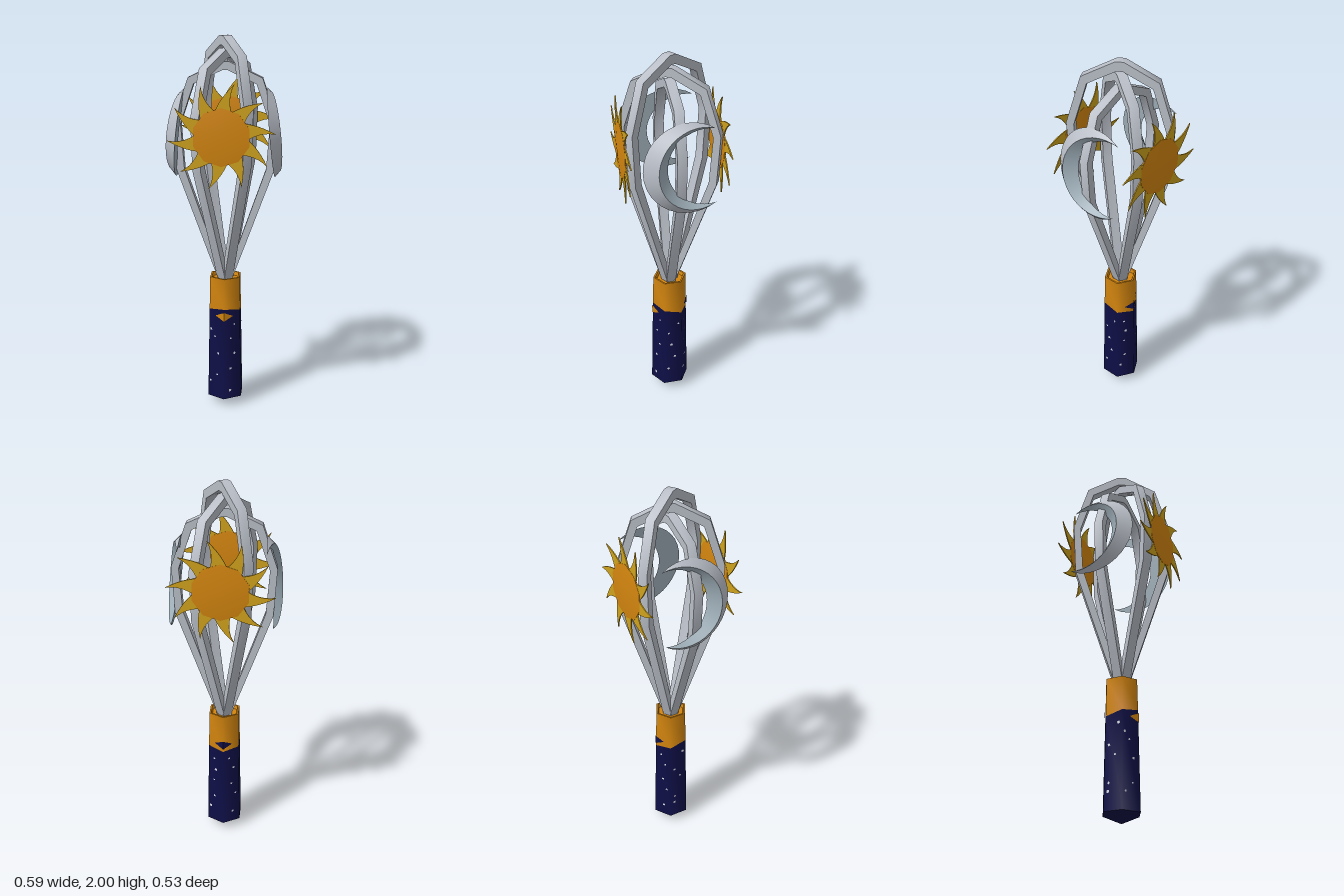
import * as THREE from 'three';
import { toCreasedNormals } from 'three/addons/utils/BufferGeometryUtils.js';

const material = (name, color, side = THREE.FrontSide) => {
  const m = new THREE.MeshStandardMaterial({ color, side });
  m.name = name;
  return m;
};

export function createModel() {
  const root = new THREE.Group();
  root.name = 'whisk';
  const silver = material('silver', 0xbabfc8);
  const slate = material('slate silver', 0x9fafb9);
  const orange = material('orange gold', 0xd4860f);
  const yellow = material('yellow gold', 0xd0a31e);
  const navy = material('navy', 0x0f0f48);
  const white = material('star white', 0xe2e4ee);

  const add = (name, geometry, mat, parent = root) => {
    const mesh = new THREE.Mesh(geometry, mat);
    mesh.name = name;
    parent.add(mesh);
    return mesh;
  };

  // Six-sided handle; the colour boundary slopes down toward the back
  const radiusAt = (y) => 0.104 - 0.02 * (y - 0.05);
  const SEAM = 0.548;
  const hexLathe = (profile) => {
    const g = new THREE.LatheGeometry(profile.map(([r, y]) => new THREE.Vector2(r, y)), 6);
    const p = g.attributes.position;
    for (let i = 0; i < p.count; i++) {
      if (Math.abs(p.getY(i) - SEAM) < 1e-4) p.setY(i, SEAM + 0.25 * p.getZ(i));
    }
    return toCreasedNormals(g, 1.1);
  };
  add('grip', hexLathe([[0, 0.005], [0.104, 0.052], [radiusAt(SEAM), SEAM]]), navy);
  add('collar', hexLathe([[radiusAt(SEAM), SEAM], [0.09, 0.74], [0.08, 0.74], [0.074, 0.72], [0, 0.72]]), orange);

  // Diamond inlays folded over the front and back edges
  const inlay = (name, y, mat, turn) => {
    const w = 0.047, h = 0.025, z = radiusAt(y) + 0.004, zs = z - w * Math.tan(Math.PI / 6);
    const g = new THREE.BufferGeometry();
    g.setAttribute('position', new THREE.Float32BufferAttribute([
      0, y + h, z, -w, y, zs, 0, y - h, z,
      0, y + h, z, 0, y - h, z, w, y, zs], 3));
    g.computeVertexNormals();
    add(name, g, mat).rotation.y = turn;
  };
  inlay('frontDiamond', 0.53, orange, 0);
  inlay('backDiamond', 0.567, navy, Math.PI);

  // Small star specks scattered over the six grip faces
  let seed = 7;
  const rand = () => (seed = (seed * 16807) % 2147483647) / 2147483647;
  for (let face = 0; face < 6; face++) {
    for (let k = 0; k < 5; k++) {
      const y = 0.1 + 0.085 * k + 0.06 * rand();
      const pivot = new THREE.Group();
      pivot.name = 'speck';
      pivot.rotation.y = Math.PI / 6 + face * Math.PI / 3;
      const s = add('star', new THREE.CircleGeometry(0.006 + 0.004 * rand(), 4), white, pivot);
      s.position.set((rand() - 0.5) * 0.07, y, radiusAt(y) * Math.cos(Math.PI / 6) + 0.002);
      s.rotation.z = rand() * 3;
      root.add(pivot);
    }
  }

  // Three flat-wire loops, each nested below the last
  const outer = [[0.036, 0.72], [0.252, 1.38], [0.267, 1.66], [0.19, 1.91], [0.02, 2.0]];
  const inner = [[0.002, 0.72], [0.212, 1.39], [0.229, 1.65], [0.16, 1.876], [0.015, 1.952]];
  const loop = (turn, scale) => {
    const fit = ([r, y], side) => new THREE.Vector2(r * side, 0.72 + (y - 0.72) * scale);
    const path = [
      ...outer.map((p) => fit(p, 1)), ...outer.slice().reverse().map((p) => fit(p, -1)),
      ...inner.map((p) => fit(p, -1)), ...inner.slice().reverse().map((p) => fit(p, 1))];
    const g = new THREE.ExtrudeGeometry(new THREE.Shape(path), { depth: 0.05, bevelEnabled: false });
    g.translate(0, 0, -0.025);
    add('wireLoop', toCreasedNormals(g, 0.95), silver).rotation.y = turn;
  };
  loop(-Math.PI / 3, 1);
  loop(Math.PI / 3, 0.95);
  loop(0, 0.9);

  // Suns: a lens-shaped disc with ten curved rays
  const polar = (r, deg) => [r * Math.cos(deg * Math.PI / 180), r * Math.sin(deg * Math.PI / 180)];
  const ray = new THREE.Shape();
  ray.moveTo(...polar(0.135, -7));
  ray.quadraticCurveTo(...polar(0.2, 5), ...polar(0.267, 0));
  ray.quadraticCurveTo(...polar(0.2, 14), ...polar(0.135, 27));
  const rayGeometry = new THREE.ExtrudeGeometry(ray, { depth: 0.006, bevelEnabled: false, curveSegments: 5 });
  rayGeometry.translate(0, 0, -0.003);
  const disc = new THREE.LatheGeometry(
    [[0, -0.018], [0.145, -0.004], [0.145, 0.004], [0, 0.018]].map(([r, y]) => new THREE.Vector2(r, y)), 10);
  disc.rotateX(Math.PI / 2);
  const discGeometry = toCreasedNormals(disc, 0.6);
  for (const side of [1, -1]) {
    const sun = new THREE.Group();
    sun.name = side > 0 ? 'frontSun' : 'backSun';
    sun.position.set(0, 1.525, side * 0.248);
    add('sunDisc', discGeometry, orange, sun);
    for (let k = 0; k < 10; k++) {
      add('sunRay', rayGeometry, yellow, sun).rotation.z = (4 + 36 * k) * Math.PI / 180;
    }
    root.add(sun);
  }

  // Crescent moons: outer rim, raised ridge and inner rim, leaning in at the top
  const strip = (a, b, side) => {
    const index = [], n = a.length;
    for (let i = 0; i < n - 1; i++) {
      for (const [p, q, r] of [[i, i + 1, n + i], [n + i, i + 1, n + i + 1]]) {
        index.push(...(side > 0 ? [p, q, r] : [p, r, q]));
      }
    }
    const g = new THREE.BufferGeometry();
    g.setAttribute('position', new THREE.Float32BufferAttribute([...a, ...b].flat(), 3));
    g.setIndex(index);
    g.computeVertexNormals();
    return g;
  };
  for (const side of [1, -1]) {
    const rim = [], ridge = [], hollow = [];
    const N = 24;
    const point = (z, dy, lift) => [side * (0.235 - 0.1 * dy + lift), 1.505 + dy, z];
    for (let i = 0; i <= N; i++) {
      const t = 1 - 2 * i / N;
      const a = t * 2.18, b = t * 1.78;
      const [zo, yo] = [-0.043 + 0.23 * Math.cos(a), 0.23 * Math.sin(a)];
      const [zi, yi] = [-0.134 + 0.199 * Math.cos(b), 0.193 * Math.sin(b)];
      rim.push(point(zo, yo, 0));
      ridge.push(point(zi + (zo - zi) * 0.45, yi + (yo - yi) * 0.45, 0.055 * Math.cos(t * Math.PI / 2)));
      hollow.push(point(zi, yi, 0));
    }
    const moon = new THREE.Group();
    moon.name = side > 0 ? 'leftMoon' : 'rightMoon';
    add('moonFace', strip(rim, ridge, side), silver, moon);
    add('moonHollow', strip(ridge, hollow, side), slate, moon);
    add('moonBack', strip(hollow, rim, side), slate, moon);
    root.add(moon);
  }
  return root;
}
